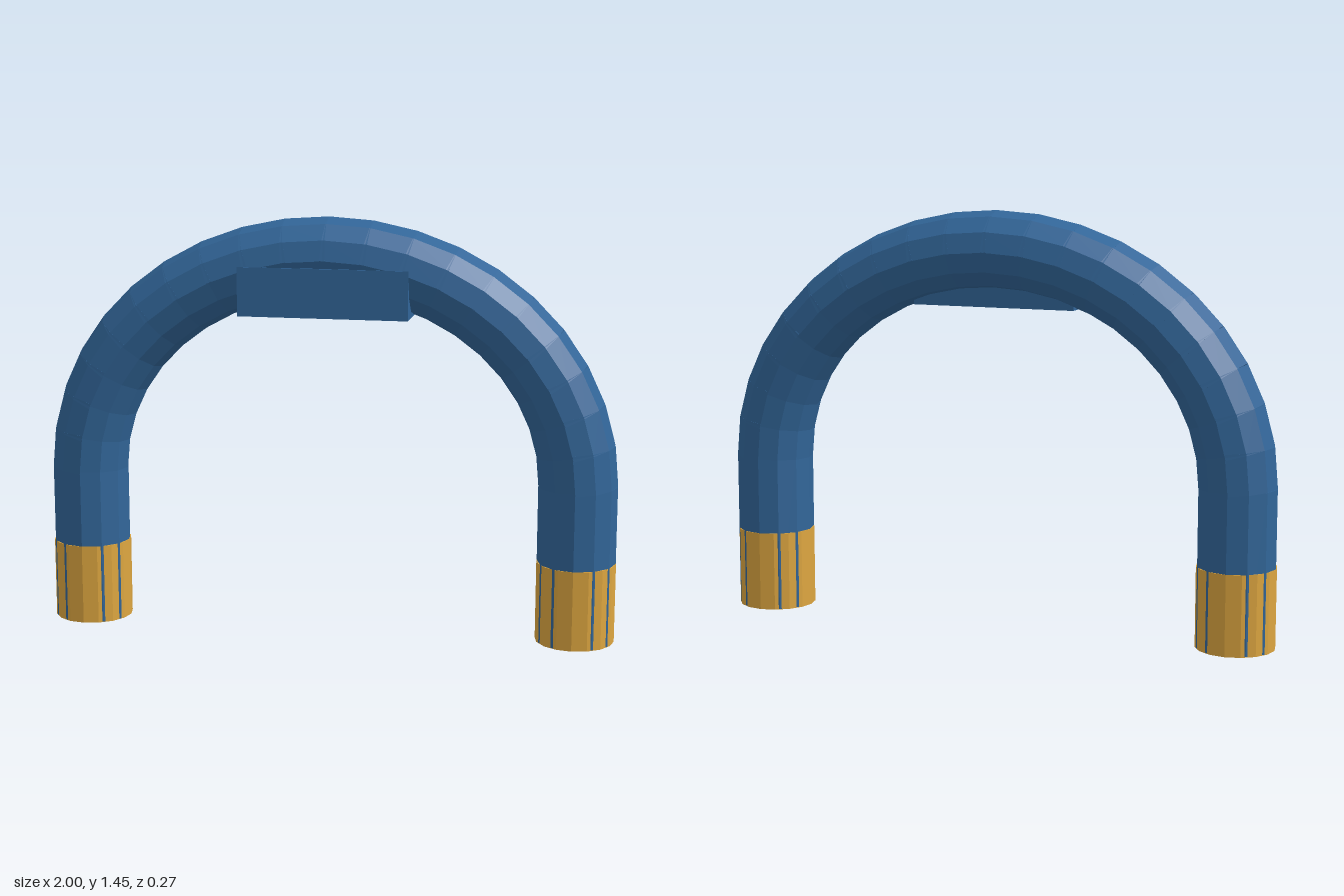
import * as THREE from 'three';

export function createModel() {
  const model = new THREE.Group();
  const blue = new THREE.MeshStandardMaterial({ color: 0x326699, flatShading: true });
  blue.name = 'blue';
  const amber = new THREE.MeshStandardMaterial({ color: 0xdda640, flatShading: true });
  amber.name = 'amber';

  const tubeR = 0.1355, sleeveR = 0.1365;
  const halfSpan = 0.8635, springY = 0.55, rise = 0.7645, steps = 20;

  function add(parent, name, geometry, material, x, y, z = 0) {
    const mesh = new THREE.Mesh(geometry, material);
    mesh.name = name;
    mesh.position.set(x, y, z);
    parent.add(mesh);
    return mesh;
  }

  // Straight legs with a coloured sleeve at each foot
  for (const [side, s] of [['left', 1], ['right', -1]]) {
    const bottom = 0.002, h = springY - bottom;
    add(model, side + 'Leg', new THREE.CylinderGeometry(tubeR, tubeR, h, 12), blue, s * halfSpan, bottom + h / 2);
    add(model, side + 'Sleeve', new THREE.CylinderGeometry(sleeveR, sleeveR, 0.28, 16), amber, s * halfSpan, 0.14);
  }

  // Elliptical arch of short, slightly overlapping cylinders
  const arch = new THREE.Group();
  arch.name = 'arch';
  model.add(arch);
  const pointAt = (i) => {
    const a = (i / steps) * Math.PI;
    return new THREE.Vector2(halfSpan * Math.cos(a), springY + rise * Math.sin(a));
  };
  for (let i = 0; i < steps; i++) {
    const p = pointAt(i), q = pointAt(i + 1);
    const geo = new THREE.CylinderGeometry(tubeR, tubeR, p.distanceTo(q) + 0.02, 12);
    const seg = add(arch, 'archSegment', geo, blue, (p.x + q.x) / 2, (p.y + q.y) / 2);
    seg.rotation.z = Math.atan2(q.y - p.y, q.x - p.x) - Math.PI / 2;
  }

  // Block set into the front underside of the arch
  add(model, 'plate', new THREE.BoxGeometry(0.586, 0.168, 0.178), blue, 0, 1.204, 0.048);

  return model;
}
